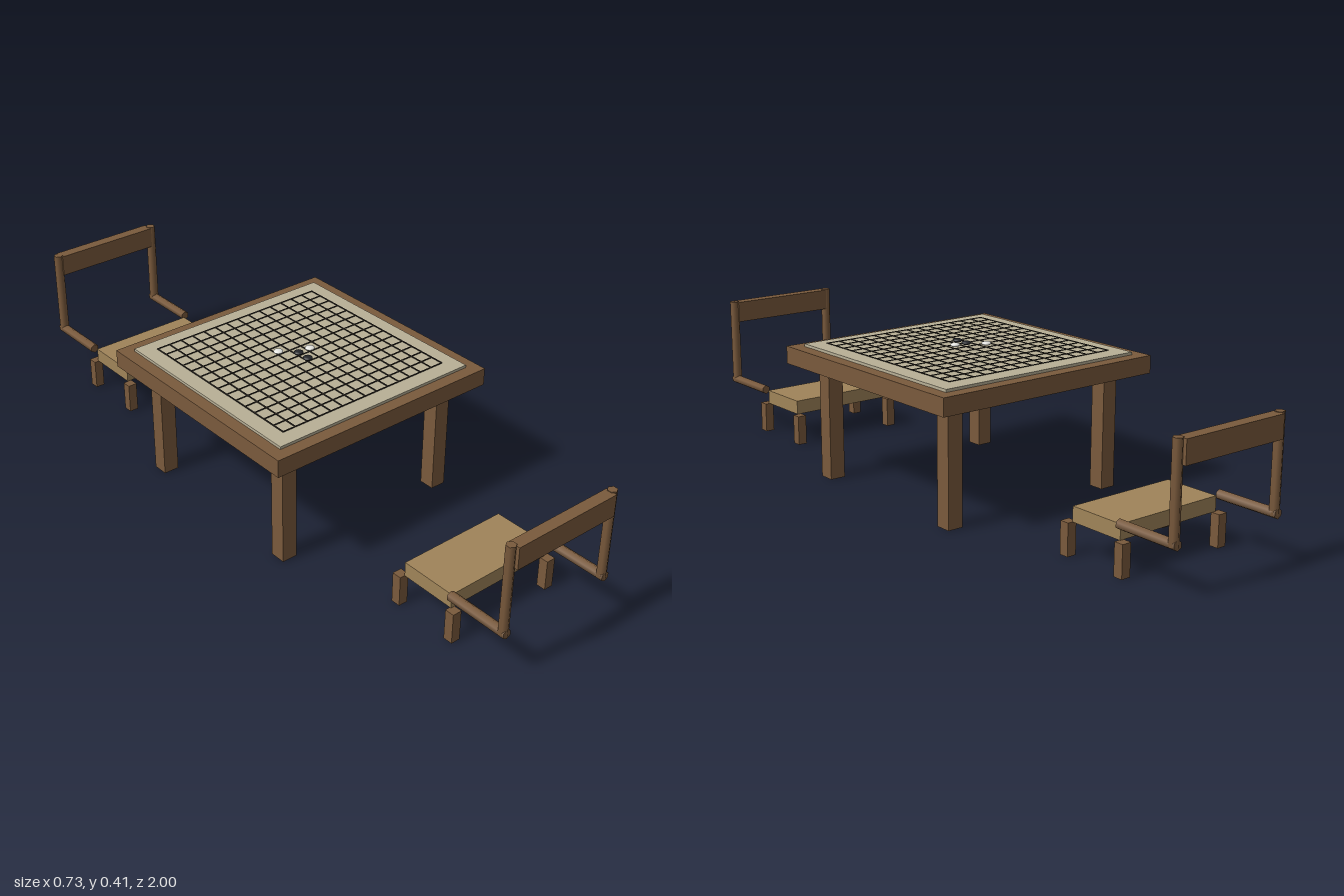
import * as THREE from 'three';

const paint = (color) => new THREE.MeshStandardMaterial({ color });
const wood = paint(0x7a5a3c);
const seatWood = paint(0xa08459);
const boardFace = paint(0xb8b096);
const lineInk = paint(0x2a2520);
const blackStone = paint(0x222428);
const whiteStone = paint(0xe6e6e2);

function add(parent, name, geometry, material, x, y, z) {
  const mesh = new THREE.Mesh(geometry, material);
  mesh.name = name;
  mesh.position.set(x, y, z);
  parent.add(mesh);
  return mesh;
}

const box = (parent, name, material, w, h, d, x, y, z) =>
  add(parent, name, new THREE.BoxGeometry(w, h, d), material, x, y, z);

function createTable() {
  const table = new THREE.Group();
  table.name = 'gameTable';
  box(table, 'tableTop', wood, 0.728, 0.051, 0.728, 0, 0.3595, 0);
  box(table, 'boardPanel', boardFace, 0.654, 0.008, 0.654, 0, 0.389, 0);
  for (const x of [-1, 1]) {
    for (const z of [-1, 1]) {
      box(table, 'tableLeg', wood, 0.047, 0.334, 0.047, x * 0.2745, 0.167, z * 0.2745);
    }
  }

  // 15 by 15 grid of thin strips just above the board
  const pitch = 0.04;
  for (let i = -7; i <= 7; i++) {
    box(table, 'gridLineAcross', lineInk, 0.563, 0.0015, 0.004, 0, 0.3965, i * pitch);
    box(table, 'gridLineAlong', lineInk, 0.004, 0.0015, 0.563, i * pitch, 0.3965, 0);
  }

  // flattened playing stones on the grid crossings
  const stones = [[0, 0, blackStone], [0, 1, blackStone], [1, 0, whiteStone], [-1, -1, whiteStone]];
  for (const [i, j, material] of stones) {
    const stone = add(table, 'playingStone', new THREE.SphereGeometry(0.0138, 16, 10),
      material, i * pitch, 0.4075, j * pitch);
    stone.scale.y = 0.42;
  }
  return table;
}

// Low chair with its back towards +z
function createChair(name) {
  const chair = new THREE.Group();
  chair.name = name;
  box(chair, 'seat', seatWood, 0.336, 0.042, 0.168, 0, 0.111, 0.715);
  box(chair, 'backRest', wood, 0.336, 0.064, 0.034, 0, 0.359, 0.983);

  // six-sided rods: upright posts and the rails joining them to the seat
  const rod = (length) => new THREE.CylinderGeometry(0.014, 0.014, length, 6);
  for (const side of [-1, 1]) {
    add(chair, 'backPost', rod(0.263), wood, side * 0.175, 0.2615, 0.98);
    const rail = add(chair, 'sideRail', rod(0.19), wood, side * 0.175, 0.135, 0.897);
    rail.rotation.x = Math.PI / 2;
    for (const z of [0.617, 0.809]) {
      box(chair, 'chairLeg', wood, 0.028, 0.09, 0.028, side * 0.169, 0.045, z);
    }
  }
  return chair;
}

export function createModel() {
  const model = new THREE.Group();
  model.name = 'boardGameTableWithChairs';
  const frontChair = createChair('frontChair');
  const rearChair = createChair('rearChair');
  rearChair.rotation.y = Math.PI;
  model.add(createTable(), frontChair, rearChair);
  return model;
}
